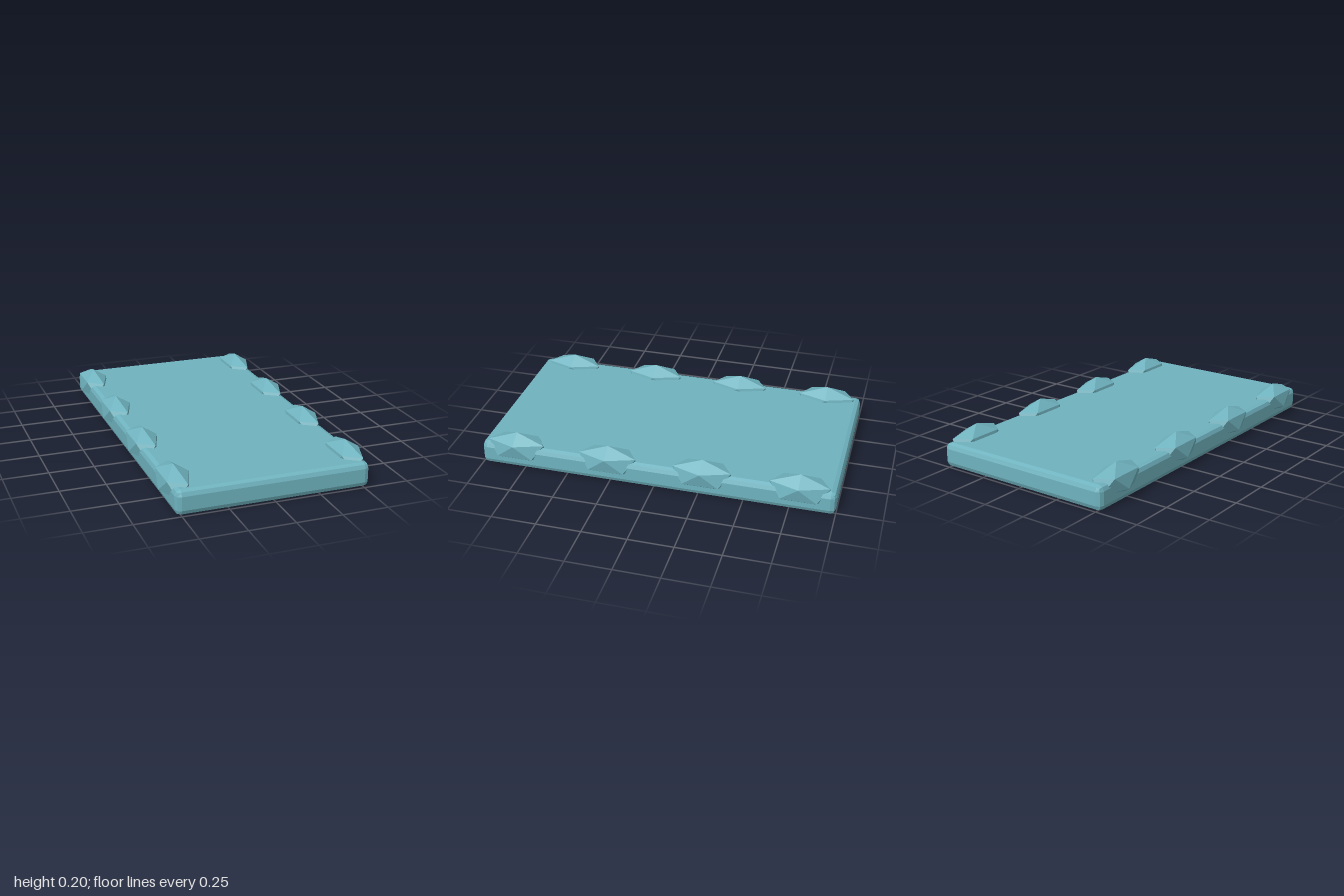
import * as THREE from 'three';
import { RoundedBoxGeometry } from 'three/addons/geometries/RoundedBoxGeometry.js';
import { ConvexGeometry } from 'three/addons/geometries/ConvexGeometry.js';

// Stretched icosahedron standing on a vertex: two poles and two staggered rings of five
function studGeometry(rx, ry, rz) {
  const h = 1 / Math.sqrt(5), r = 2 * h;
  const points = [new THREE.Vector3(0, ry, 0), new THREE.Vector3(0, -ry, 0)];
  for (let i = 0; i < 5; i++) {
    const a = (i * Math.PI * 2) / 5;
    const x = r * Math.cos(a) * rx, z = r * Math.sin(a) * rz;
    points.push(new THREE.Vector3(x, h * ry, z), new THREE.Vector3(-x, -h * ry, -z));
  }
  return new ConvexGeometry(points);
}

export function createModel() {
  const group = new THREE.Group();
  const material = new THREE.MeshStandardMaterial({ color: 0x6fb3bf, flatShading: true });

  // Flat slab with narrow bevelled edges
  const slab = new THREE.Mesh(new RoundedBoxGeometry(1.06, 0.135, 2, 1, 0.03), material);
  slab.name = 'slab';
  slab.position.y = 0.0675;
  group.add(slab);

  // Four faceted crystals along each long edge
  const geometry = studGeometry(0.09, 0.09, 0.19);
  for (const side of [-1, 1]) {
    for (let i = 0; i < 4; i++) {
      const crystal = new THREE.Mesh(geometry, material);
      crystal.name = side > 0 ? 'leftCrystal' : 'rightCrystal';
      crystal.position.set(side * 0.479, 0.11, -0.8 + (i * 1.6) / 3);
      group.add(crystal);
    }
  }
  return group;
}
